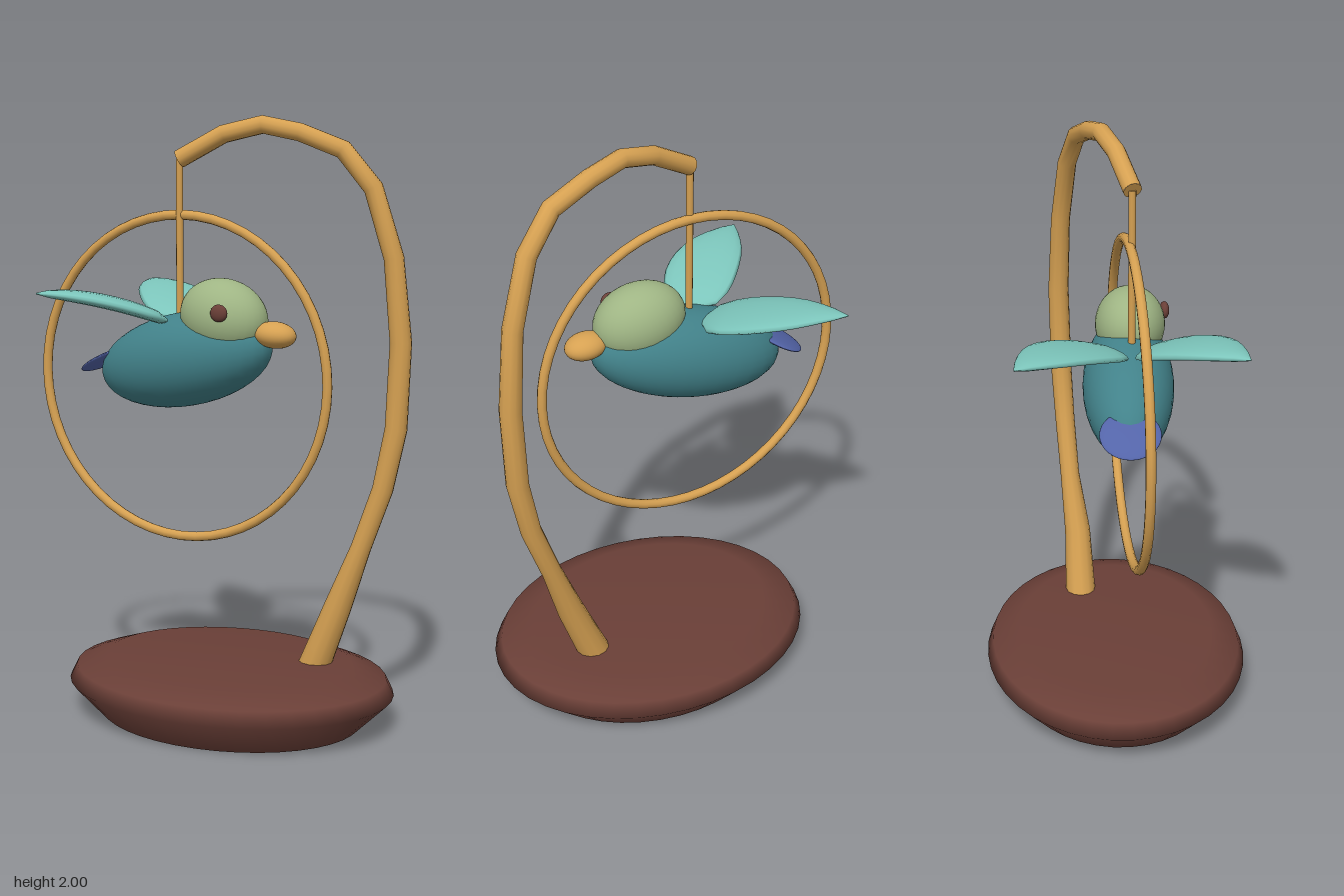
import * as THREE from 'three';

const mat = (name, color) => Object.assign(new THREE.MeshStandardMaterial({ color }), { name });

export function createModel() {
  const model = new THREE.Group();
  model.name = 'birdOnSwing';
  const brown = mat('dark wood brown', 0x6a3f37);
  const tan = mat('light wood tan', 0xd6a152);
  const teal = mat('body teal', 0x42828a);
  const sage = mat('head sage green', 0x9fb584);
  const aqua = mat('wing aqua', 0x7cc5bb);
  const blue = mat('tail blue', 0x5364a8);

  const add = (parent, name, geometry, material, x = 0, y = 0, z = 0) => {
    const mesh = new THREE.Mesh(geometry, material);
    mesh.name = name;
    mesh.position.set(x, y, z);
    parent.add(mesh);
    return mesh;
  };
  const ellipsoid = (rx, ry, rz) => new THREE.SphereGeometry(1, 32, 20).scale(rx, ry, rz);

  // Oval base with softly shaded rim and a flat underside
  const profile = [[0.8, 0], [1, 0.11], [0.955, 0.16], [0.75, 0.2], [0, 0.2]]
    .map(([r, y]) => new THREE.Vector2(r, y));
  add(model, 'base', new THREE.LatheGeometry(profile, 40).scale(0.57, 1, 0.455), brown, 0.07);
  const underside = new THREE.CircleGeometry(0.8, 40).rotateX(Math.PI / 2).scale(0.57, 1, 0.455);
  add(model, 'baseUnderside', underside, brown, 0.07);

  // Curved branch: x, y, z, radius at each ring
  const rings = [
    [0.335, 0.17, -0.098, 0.055], [0.425, 0.4, -0.1, 0.046], [0.495, 0.6, -0.12, 0.034],
    [0.565, 0.8, -0.13, 0.035], [0.605, 1.0, -0.138, 0.037], [0.615, 1.28, -0.142, 0.036],
    [0.59, 1.55, -0.133, 0.033], [0.525, 1.77, -0.113, 0.032], [0.43, 1.89, -0.088, 0.031],
    [0.29, 1.945, -0.062, 0.03], [0.17, 1.97, -0.032, 0.03], [0.045, 1.94, 0.002, 0.03],
    [-0.1, 1.86, 0.036, 0.03],
  ];
  const curve = new THREE.CatmullRomCurve3(rings.map(([x, y, z]) => new THREE.Vector3(x, y, z)));
  curve.getPointAt = (t, target) => curve.getPoint(t, target);
  curve.getTangentAt = (t, target) => curve.getTangent(t, target);
  const sides = 12;
  const branch = new THREE.TubeGeometry(curve, rings.length - 1, 1, sides);
  const pos = branch.attributes.position;
  const p = new THREE.Vector3();
  const centre = new THREE.Vector3();
  for (let i = 0; i < pos.count; i++) {
    const [x, y, z, r] = rings[Math.floor(i / (sides + 1))];
    centre.set(x, y, z);
    p.fromBufferAttribute(pos, i).sub(centre).multiplyScalar(r).add(centre);
    pos.setXYZ(i, p.x, p.y, p.z);
  }
  add(model, 'branch', branch, tan);
  const tip = curve.getPoint(1);
  const cap = add(model, 'branchEnd', new THREE.CircleGeometry(0.03, sides), tan, tip.x, tip.y, tip.z);
  cap.lookAt(tip.clone().add(curve.getTangent(1)));

  // Hanging rod and hoop
  add(model, 'hangingRod', new THREE.CylinderGeometry(0.012, 0.012, 0.56, 10), tan, -0.1, 1.58, 0.035);
  add(model, 'hoop', new THREE.TorusGeometry(0.538, 0.016, 10, 56), tan, -0.1, 1.142, 0.028);

  // Bird
  const bird = new THREE.Group();
  bird.name = 'bird';
  model.add(bird);
  const body = add(bird, 'body', ellipsoid(0.339, 0.156, 0.148), teal, -0.085, 1.204, 0.026);
  body.rotation.set(0, -0.1, 0.21);
  const head = add(bird, 'head', ellipsoid(0.157, 0.126, 0.115), sage, 0.075, 1.352, 0.05);
  head.rotation.set(0, -0.1, -0.22);
  add(bird, 'eye', ellipsoid(0.03, 0.028, 0.016), brown, 0.122, 1.377, 0.17);
  const beak = add(bird, 'beak', ellipsoid(0.072, 0.043, 0.057), tan, 0.264, 1.305, 0.056);
  beak.rotation.z = -0.08;
  const tail = add(bird, 'tail', ellipsoid(0.094, 0.014, 0.096), blue, -0.414, 1.182, -0.006);
  tail.rotation.set(0, -0.1, 0.5);

  // Leaf-shaped wings: lens sections lofted from root to tip
  const halfWidths = [0.001, 0.09, 0.112, 0.12, 0.12, 0.115, 0.105, 0.089, 0.065, 0.036, 0.001];
  const makeWing = (name, side, rootX, rootZ, tipX, tipZ) => {
    const around = 16;
    const verts = [];
    const index = [];
    const axis = new THREE.Vector2(tipX - rootX, tipZ - rootZ);
    const dir = axis.clone().normalize();
    const across = new THREE.Vector2(dir.y * side, -dir.x * side);
    const last = halfWidths.length - 1;
    halfWidths.forEach((w, i) => {
      const u = i / last;
      const thick = 0.024 * Math.sqrt(w / 0.12);
      for (let j = 0; j < around; j++) {
        const a = (j / around) * Math.PI * 2;
        const v = 0.018 * Math.sin(Math.PI * u) + w * Math.cos(a);
        verts.push(
          rootX + axis.x * u + across.x * v,
          1.33 + 0.19 * u - 0.09 * u * u + thick * Math.sin(a),
          rootZ + axis.y * u + across.y * v,
        );
        if (i === last) continue;
        const k = i * around + j;
        const n = i * around + (j + 1) % around;
        const quad = [k, n, k + around, n, n + around, k + around];
        index.push(...(side > 0 ? quad : quad.reverse()));
      }
    });
    const geometry = new THREE.BufferGeometry();
    geometry.setAttribute('position', new THREE.Float32BufferAttribute(verts, 3));
    geometry.setIndex(index);
    geometry.computeVertexNormals();
    add(bird, name, geometry, aqua);
  };
  makeWing('rightWing', 1, -0.118, 0.068, -0.453, 0.354);
  makeWing('leftWing', -1, -0.115, -0.012, -0.453, -0.36);

  return model;
}
